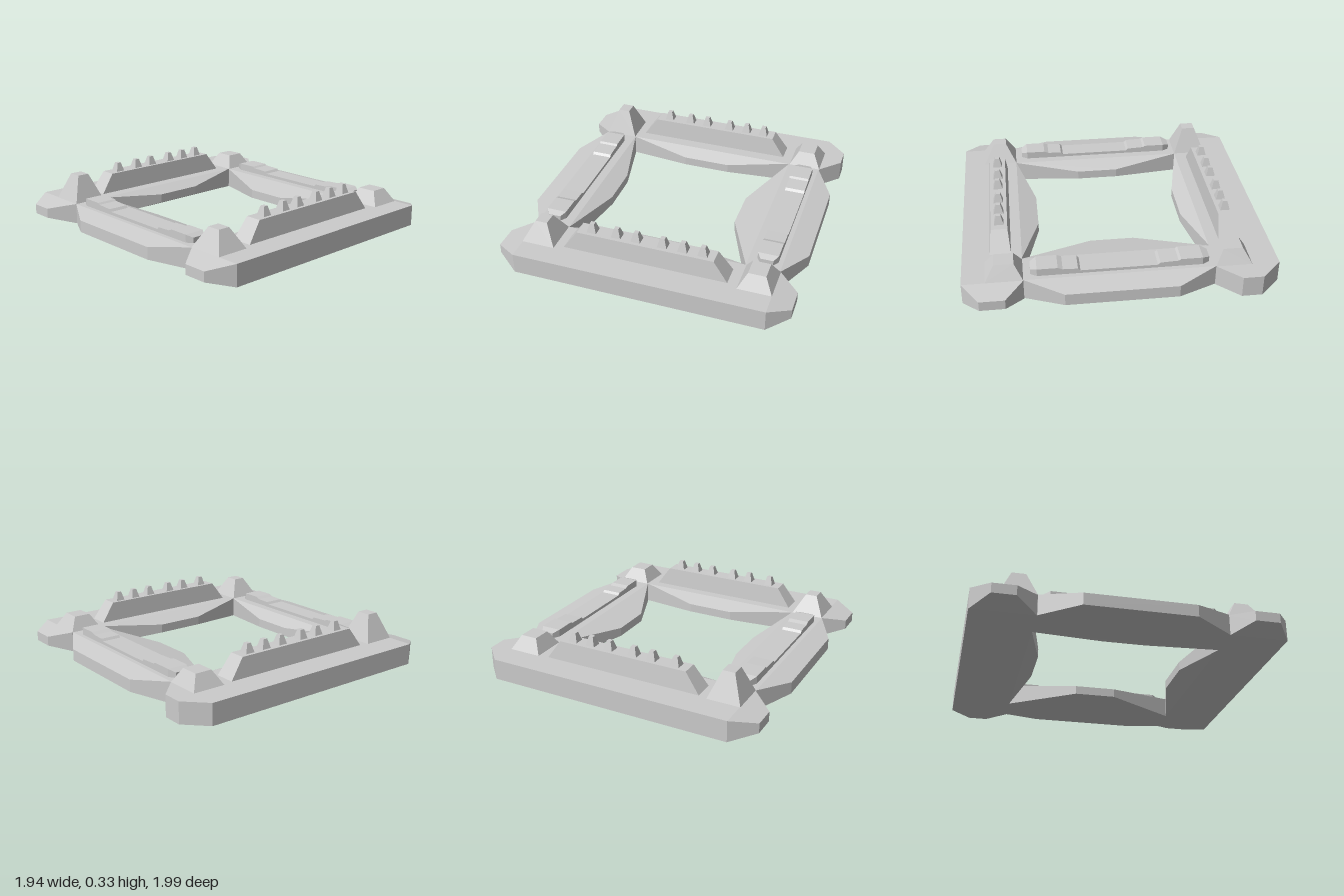
import * as THREE from 'three';
import { ConvexGeometry } from 'three/addons/geometries/ConvexGeometry.js';

const H = 0.14; // height of the frame
const material = new THREE.MeshStandardMaterial({ color: 0xcccccc, flatShading: true });

// Convex solid from [x, y, z] corners
function solid(name, corners) {
  const mesh = new THREE.Mesh(new ConvexGeometry(corners.map(c => new THREE.Vector3(...c))), material);
  mesh.name = name;
  return mesh;
}

// Corners of a rectangle [x0, x1, z0, z1] at height y
const rect = ([x0, x1, z0, z1], y) => [[x0, y, z0], [x1, y, z0], [x1, y, z1], [x0, y, z1]];

// Block with a different rectangle at its base and its top
const frustum = (name, base, top, y0, y1) => solid(name, [...rect(base, y0), ...rect(top, y1)]);

// The same plan points at two heights
const prism = (points, y0, y1) => points.flatMap(([x, z]) => [[x, y0, z], [x, y1, z]]);

// Long front or back bar; each end narrows to a nose of the given heights
function crossBar(name, inner, outer, noses) {
  const group = new THREE.Group();
  group.name = name;
  const corners = prism([[-0.82, inner], [0.835, inner], [0.835, outer], [-0.82, outer]], 0, H);
  for (const { x, z0, z1, y0, y1 } of noses) corners.push(...prism([[x, z0], [x, z1]], y0, y1));
  group.add(solid(name + 'Slab', corners));
  // angular swelling towards the opening
  const tip = Math.sign(inner) * 0.49;
  group.add(solid(name + 'InnerBulge', [
    ...prism([[-0.6, inner], [0.6, inner]], 0, H),
    ...prism([[-0.16, tip], [0.17, tip]], 0.04, 0.1),
  ]));
  return group;
}

// Side bar with a swollen inner and outer edge
function sideBar(name, xIn, xOut, bulgeIn, bulgeOut) {
  return solid(name, [
    ...prism([[xIn, -0.59], [xOut, -0.59], [xOut, 0.615], [xIn, 0.615]], 0, H),
    ...prism([[bulgeOut, -0.34], [bulgeOut, 0.37]], 0.03, 0.11),
    ...prism([[bulgeIn, -0.125], [bulgeIn, 0.16]], 0.04, 0.1),
  ]);
}

// Stepped strip: rectangular sections [z, half width, height] joined along z
function steppedStrip(name, x) {
  const sections = [
    [-0.555, 0.042, 0.175], [-0.51, 0.068, 0.19], [-0.37, 0.068, 0.19], [-0.355, 0.068, 0.18],
    [-0.24, 0.068, 0.175], [-0.225, 0.068, 0.16], [0.26, 0.068, 0.16], [0.275, 0.068, 0.175],
    [0.37, 0.068, 0.178], [0.4, 0.068, 0.19], [0.53, 0.068, 0.19], [0.57, 0.042, 0.175],
  ];
  const positions = [];
  const index = [];
  sections.forEach(([z, w, y], i) => {
    positions.push(x - w, H, z, x + w, H, z, x + w, y, z, x - w, y, z);
    if (i === 0) return;
    for (let k = 0; k < 4; k++) {
      const a = (i - 1) * 4 + k, b = (i - 1) * 4 + (k + 1) % 4;
      index.push(a, b, b + 4, a, b + 4, a + 4);
    }
  });
  const e = (sections.length - 1) * 4;
  index.push(0, 2, 1, 0, 3, 2, e, e + 1, e + 2, e, e + 2, e + 3);
  const indexed = new THREE.BufferGeometry();
  indexed.setAttribute('position', new THREE.Float32BufferAttribute(positions, 3));
  indexed.setIndex(index);
  const geometry = indexed.toNonIndexed();
  geometry.computeVertexNormals();
  const mesh = new THREE.Mesh(geometry, material);
  mesh.name = name;
  return mesh;
}

// Raised rail with a row of small blunt teeth
function toothedRail(name, z) {
  const group = new THREE.Group();
  group.name = name;
  group.add(frustum(name + 'Body',
    [-0.545, 0.548, z - 0.068, z + 0.068], [-0.45, 0.455, z - 0.054, z + 0.054], H, 0.27));
  for (const x of [-0.36, -0.195, -0.063, 0.112, 0.245, 0.375]) {
    group.add(frustum(name + 'Tooth',
      [x - 0.032, x + 0.032, z - 0.032, z + 0.032], [x - 0.015, x + 0.015, z - 0.015, z + 0.015], 0.268, 0.33));
  }
  return group;
}

export function createModel() {
  const model = new THREE.Group();
  model.name = 'squareFrame';

  // Frame
  model.add(crossBar('frontBar', 0.615, 0.995, [
    { x: -0.97, z0: 0.73, z1: 0.89, y0: 0.04, y1: 0.105 },
    { x: 0.97, z0: 0.73, z1: 0.89, y0: 0.04, y1: 0.105 },
  ]));
  model.add(crossBar('backBar', -0.59, -0.995, [
    { x: -0.97, z0: -0.88, z1: -0.73, y0: 0.04, y1: 0.105 },
    { x: 0.97, z0: -0.86, z1: -0.73, y0: 0, y1: H },
  ]));
  model.add(sideBar('rightBar', -0.6, -0.825, -0.485, -0.96));
  model.add(sideBar('leftBar', 0.61, 0.83, 0.41, 0.965));

  // Rails and strips on top
  model.add(toothedRail('frontRail', 0.75), toothedRail('backRail', -0.737));
  model.add(steppedStrip('rightStrip', -0.727), steppedStrip('leftStrip', 0.732));

  // Corner towers of differing height
  const towers = [
    ['frontRightTower', -0.713, true, 0.27, 0.04],
    ['backRightTower', -0.713, false, 0.315, 0.04],
    ['frontLeftTower', 0.725, true, 0.232, 0.057],
    ['backLeftTower', 0.725, false, 0.232, 0.057],
  ];
  for (const [name, x, front, height, w] of towers) {
    const base = front ? [0.615, 0.85] : [-0.82, -0.59];
    const zTop = front ? 0.73 : -0.703;
    model.add(frustum(name,
      [x - 0.11, x + 0.11, ...base], [x - w, x + w, zTop - w - 0.005, zTop + w + 0.005], H, height));
  }
  return model;
}
